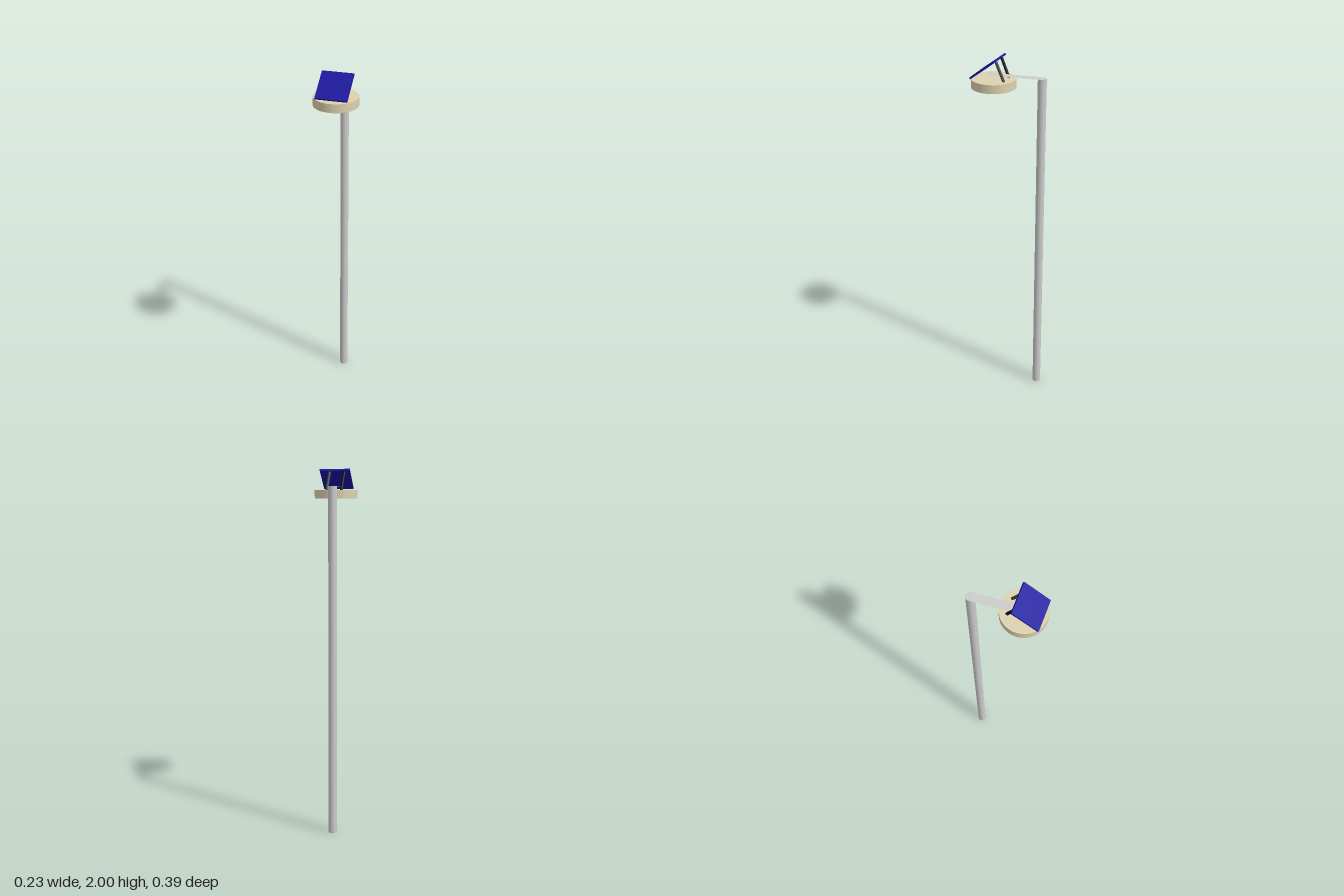
import * as THREE from 'three';

const material = (color, side = THREE.FrontSide) => new THREE.MeshStandardMaterial({ color, side });

function addMesh(group, name, geometry, mat, x, y, z) {
  const mesh = new THREE.Mesh(geometry, mat);
  mesh.name = name;
  mesh.position.set(x, y, z);
  group.add(mesh);
  return mesh;
}

// Round bar between two points
function addRod(group, name, from, to, radius, mat) {
  const a = new THREE.Vector3(...from), b = new THREE.Vector3(...to);
  const direction = b.clone().sub(a);
  const middle = a.clone().add(b).multiplyScalar(0.5);
  const rod = addMesh(group, name, new THREE.CylinderGeometry(radius, radius, direction.length(), 24),
    mat, middle.x, middle.y, middle.z);
  rod.quaternion.setFromUnitVectors(new THREE.Vector3(0, 1, 0), direction.normalize());
}

export function createModel() {
  const model = new THREE.Group();
  model.name = 'solarStreetLamp';
  const yaw = -0.045;
  const poleHeight = 1.905, poleX = -0.016, poleZ = -0.176;

  // Tall pole
  addMesh(model, 'pole', new THREE.CylinderGeometry(0.023, 0.023, poleHeight, 48),
    material(0xcccccc), poleX, poleHeight / 2, poleZ);

  // Flat strip reaching from the pole top over the lamp
  const armLength = 0.29;
  const armGeometry = new THREE.PlaneGeometry(0.045, armLength);
  armGeometry.rotateX(-Math.PI / 2).translate(0, 0, armLength / 2);
  const arm = addMesh(model, 'arm', armGeometry, material(0xcccccc, THREE.DoubleSide),
    poleX, poleHeight - 0.0005, poleZ);
  arm.rotation.y = 0.037;

  // Round lamp housing
  addMesh(model, 'lampHousing', new THREE.CylinderGeometry(0.117, 0.117, 0.046, 64),
    material(0xddd1ae), 0, 1.864, 0.079);

  // Tilted solar panel
  const panel = addMesh(model, 'solarPanel', new THREE.BoxGeometry(0.166, 0.01, 0.164),
    material(0x19149f), 0, 1.947, 0.11);
  panel.rotation.set(0.64, yaw, 0, 'YXZ');

  // Leaning legs that hold up the back of the panel
  addRod(model, 'rightPanelLeg', [-0.039, 1.884, 0.009], [-0.05, 1.984, 0.053], 0.0075, material(0x111111));
  addRod(model, 'leftPanelLeg', [0.042, 1.884, 0.009], [0.031, 1.982, 0.055], 0.0075, material(0x444444));

  return model;
}
